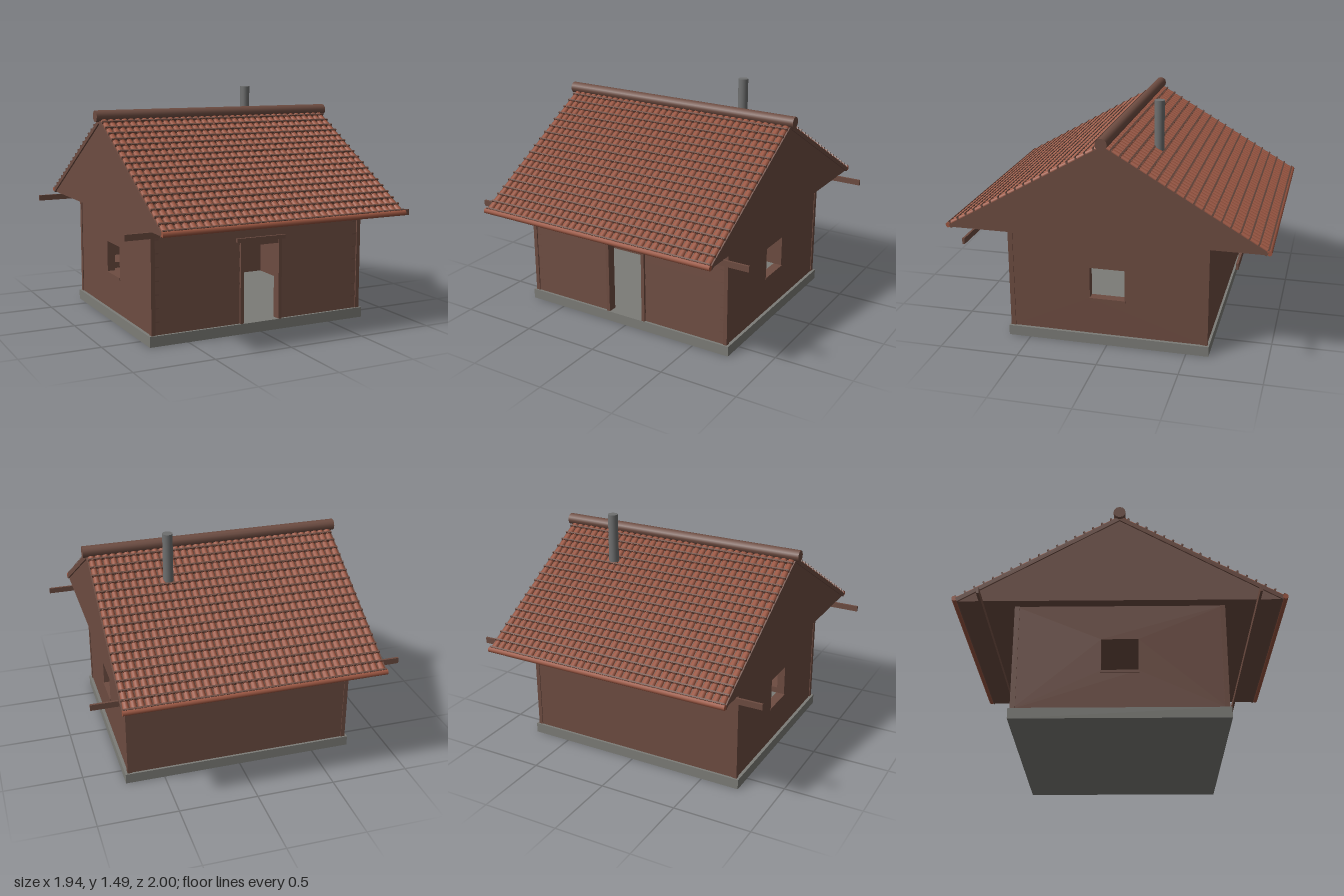
import * as THREE from 'three';
import { mergeGeometries } from 'three/addons/utils/BufferGeometryUtils.js';

const mat = (name, color) => Object.assign(new THREE.MeshStandardMaterial({ color }), { name });

export function createModel() {
  const wood = mat('brown wood', 0x6d4c41);
  const tileRed = mat('red clay', 0x9a5540);
  const concrete = mat('grey concrete', 0x7c7c77);
  const metal = mat('grey metal', 0x6f7070);

  const house = new THREE.Group();
  house.name = 'cabin';

  const add = (name, geometry, material, parent = house) => {
    const m = new THREE.Mesh(geometry, material);
    m.name = name;
    parent.add(m);
    return m;
  };
  // box given by its lower and upper corners
  const box = (x0, x1, y0, y1, z0, z1) =>
    new THREE.BoxGeometry(x1 - x0, y1 - y0, z1 - z0)
      .translate((x0 + x1) / 2, (y0 + y1) / 2, (z0 + z1) / 2);
  // outline in (z, y), extruded along x and centred on cx
  const profileX = (shape, width, cx = 0) =>
    new THREE.ExtrudeGeometry(shape, { depth: width, bevelEnabled: false })
      .rotateY(-Math.PI / 2).translate(cx + width / 2, 0, 0);
  const outline = pts => new THREE.Shape(pts.map(p => new THREE.Vector2(...p)));

  const floorY = 0.065, wallTop = 0.725;

  add('foundation', box(-0.75, 0.75, 0, floorY, -0.64, 0.64), concrete);

  // side walls with see-through windows and sills
  const sideShape = outline([[-0.62, floorY], [0.62, floorY], [0.62, wallTop], [-0.62, wallTop]]);
  sideShape.holes.push(new THREE.Path(
    [[-0.11, 0.305], [-0.11, 0.505], [0.11, 0.505], [0.11, 0.305]].map(p => new THREE.Vector2(...p))));
  for (const s of [-1, 1]) {
    add('sideWall', profileX(sideShape, 0.05, s * 0.705), wood);
    add('windowSill', new THREE.BoxGeometry(0.06, 0.015, 0.23).translate(s * 0.705, 0.298, 0), wood);
    for (const t of [-1, 1])
      add('cornerPost', new THREE.BoxGeometry(0.026, wallTop - floorY, 0.03)
        .translate(s * 0.722, (floorY + wallTop) / 2, t * 0.615), wood);
  }

  add('backWall', box(-0.71, 0.71, floorY, wallTop, -0.625, -0.585), wood);

  // front wall around the doorway
  add('frontWallLeft', box(0.125, 0.71, floorY, wallTop, 0.585, 0.615), wood);
  add('frontWallRight', box(-0.71, -0.125, floorY, wallTop, 0.585, 0.615), wood);
  add('frontWallAboveDoor', box(-0.125, 0.125, 0.55, wallTop, 0.585, 0.615), wood);

  // slightly tilted boards on the front
  const boards = [], rows = 8, boardH = (wallTop - floorY) / rows;
  const board = (x0, x1, y) => boards.push(
    new THREE.BoxGeometry(x1 - x0, boardH, 0.008).rotateX(-0.06)
      .translate((x0 + x1) / 2, y, 0.618));
  for (let i = 0; i < rows; i++) {
    const y = floorY + (i + 0.5) * boardH;
    if (y < 0.6) {
      board(-0.71, -0.135, y);
      board(0.135, 0.71, y);
    } else board(-0.71, 0.71, y);
  }
  add('frontBoards', mergeGeometries(boards), wood);

  // door frame
  for (const s of [-1, 1])
    add('doorPost', new THREE.BoxGeometry(0.022, 0.51, 0.06).translate(s * 0.134, 0.32, 0.607), wood);
  add('doorHead', box(-0.125, 0.125, 0.55, 0.575, 0.58, 0.632), wood);
  add('doorLintel', box(-0.17, 0.17, 0.575, 0.6, 0.6, 0.638), wood);

  // stepped benches along the back wall and a small one by the front corner
  add('benchBase', box(-0.68, 0.2, floorY, 0.11, -0.585, -0.2), wood);
  add('lowerBench', box(-0.68, 0.2, 0.23, 0.26, -0.36, -0.14), wood);
  add('upperBench', box(-0.68, 0.2, 0.26, 0.3, -0.585, -0.36), wood);
  for (const x of [-0.45, 0.17])
    add('benchSupport', box(x, x + 0.03, 0.11, 0.26, -0.585, -0.16), wood);
  add('cornerBench', box(-0.68, -0.35, 0.2, 0.24, 0.3, 0.585), wood);

  // solid gable block under the roof
  add('gables', profileX(outline([[-0.965, 0.725], [0.965, 0.725], [0, 1.285]]), 1.61), wood);

  // roof slopes: deck, clay tiles in rows, battens and eave edge
  const pitch = Math.PI / 6, cols = 36, courses = 18;
  const length = 1.13, step = length / courses, colW = 1.62 / cols;
  const tiles = [], battens = [];
  for (let r = 0; r < courses; r++) {
    const along = (r + 0.5) * step;
    for (let c = 0; c < cols; c++)
      tiles.push(new THREE.CylinderGeometry(0.021, 0.018, step * 0.96, 5, 1, false, -Math.PI / 2, Math.PI)
        .scale(1, 1, 0.8).rotateX(-Math.PI / 2).rotateY(Math.PI)
        .scale(1, 1, 1).translate((c + 0.5) * colW - 0.81, 0, along));
    battens.push(new THREE.BoxGeometry(1.62, 0.019, 0.01).translate(0, 0.0095, (r + 1) * step - 0.008));
  }
  // keep every tile arched upward whatever its turn
  const tileGeo = mergeGeometries(tiles);
  tileGeo.computeBoundingBox();
  if (tileGeo.boundingBox.max.y < 0.005) tileGeo.rotateZ(Math.PI);
  const battenGeo = mergeGeometries(battens);
  for (const turn of [0, Math.PI]) {
    const side = new THREE.Group();
    side.name = turn ? 'backRoof' : 'frontRoof';
    side.rotation.y = turn;
    const slope = new THREE.Group();
    slope.name = 'roofSlope';
    slope.position.y = 1.308;
    slope.rotation.x = pitch;
    side.add(slope);
    house.add(side);
    add('roofDeck', box(-0.815, 0.815, -0.025, 0, 0, length), wood, slope);
    add('roofTiles', tileGeo, tileRed, slope);
    add('tileBattens', battenGeo, wood, slope);
    add('eaveEdge', new THREE.CylinderGeometry(0.017, 0.017, 1.63, 8)
      .rotateZ(Math.PI / 2).translate(0, 0, length + 0.005), tileRed, slope);
    // long thin beam below the eave
    add('eaveBeam', box(-0.97, 0.97, 0.69, 0.727, 0.812, 0.826), wood, side);
  }

  add('ridgeLog', new THREE.CylinderGeometry(0.037, 0.037, 1.675, 12)
    .rotateZ(Math.PI / 2).translate(0, 1.324, 0), wood);

  add('chimneyPipe', new THREE.CylinderGeometry(0.032, 0.032, 0.4, 16).translate(0.35, 1.285, -0.24), metal);

  return house;
}
